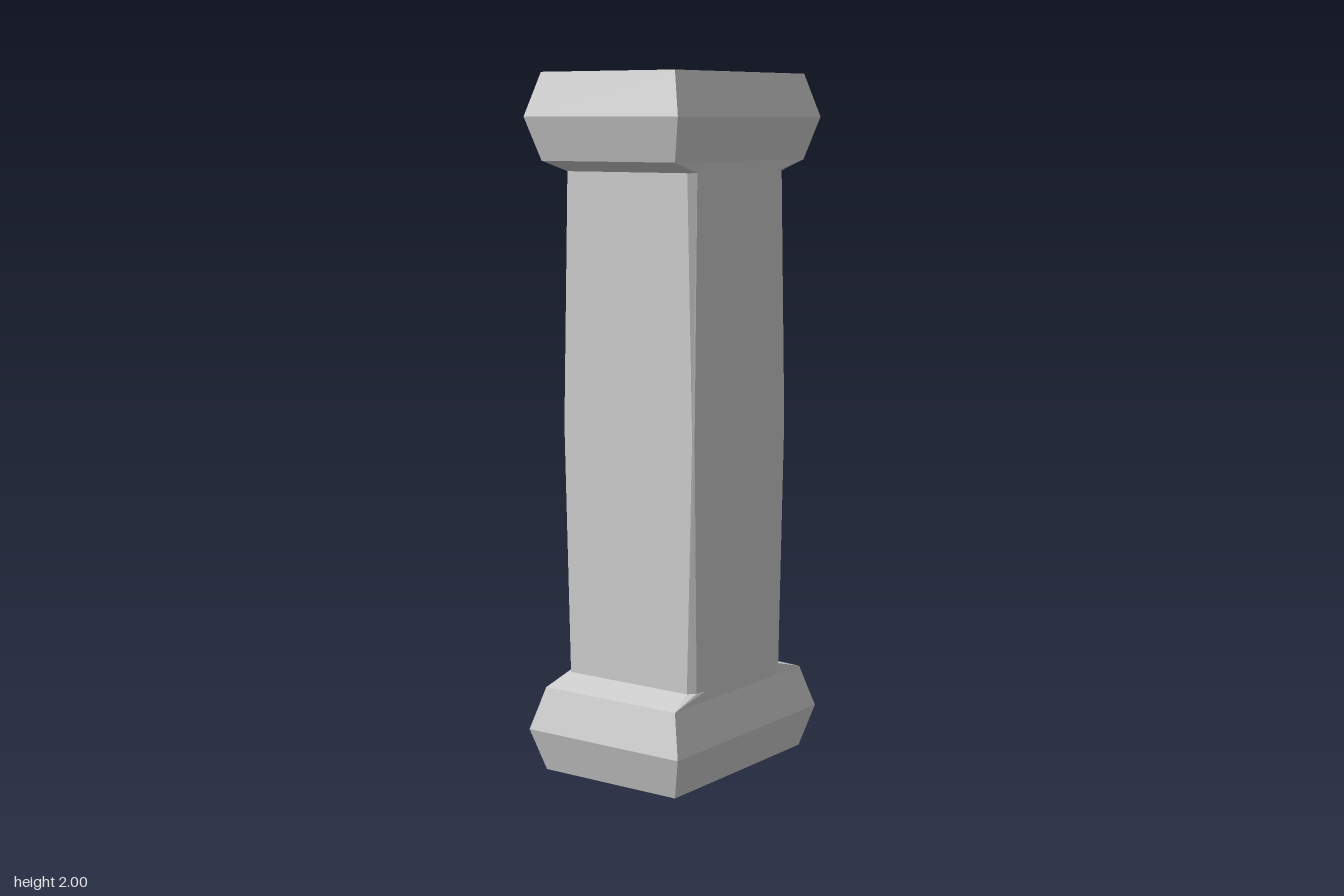
import * as THREE from 'three';

const material = new THREE.MeshStandardMaterial({ color: 0xcccccc, flatShading: true });

// Closed ring at height y from the points of one corner (ordered side to front), mirrored to all four.
function ring(y, corner) {
  const back = [...corner].reverse();
  const place = (list, sx, sz) => list.map(([x, z]) => new THREE.Vector3(x * sx, y, z * sz));
  return [...place(corner, 1, 1), ...place(back, -1, 1), ...place(corner, -1, -1), ...place(back, 1, -1)];
}

// Skin between rings listed from bottom to top, with optional flat ends.
function loft(name, rings, closeBottom, closeTop) {
  const pos = [];
  const tri = (a, b, c) => {
    if (new THREE.Triangle(a, b, c).getArea() < 1e-7) return;
    for (const p of [a, b, c]) pos.push(p.x, p.y, p.z);
  };
  const n = rings[0].length;
  for (let r = 0; r < rings.length - 1; r++) {
    const lo = rings[r], hi = rings[r + 1];
    for (let i = 0; i < n; i++) {
      const j = (i + 1) % n;
      tri(lo[i], hi[i], lo[j]);
      tri(lo[j], hi[i], hi[j]);
    }
  }
  const bottom = rings[0], top = rings[rings.length - 1];
  for (let i = 1; i < n - 1; i++) {
    if (closeBottom) tri(bottom[0], bottom[i], bottom[i + 1]);
    if (closeTop) tri(top[0], top[i + 1], top[i]);
  }
  const geometry = new THREE.BufferGeometry();
  geometry.setAttribute('position', new THREE.Float32BufferAttribute(pos, 3));
  geometry.computeVertexNormals();
  const mesh = new THREE.Mesh(geometry, material);
  mesh.name = name;
  return mesh;
}

export function createModel() {
  const group = new THREE.Group();
  group.name = 'pillar';

  // Bevelled blocks at both ends
  const block = [[0, 0.317, 0.23], [0.122, 0.352, 0.265], [0.245, 0.317, 0.23]];
  const blockRings = (y0) => block.map(([y, x, z]) => ring(y0 + y, [[x, z]]));
  group.add(loft('base', blockRings(0), true, true));
  group.add(loft('capital', blockRings(1.755), true, true));

  // Shaft: sloped side ledges, and corner chamfers that narrow towards the middle
  const ledge = [[0.317, 0.23], [0.317, 0.23], [0.175, 0.23]];
  const end = [[0.23, 0.208], [0.208, 0.226], [0.17, 0.23]];
  const middle = [[0.23, 0.225], [0.225, 0.23], [0.17, 0.23]];
  group.add(loft('shaft', [
    ring(0.245, ledge), ring(0.275, end), ring(1, middle), ring(1.725, end), ring(1.755, ledge),
  ], false, false));

  return group;
}
